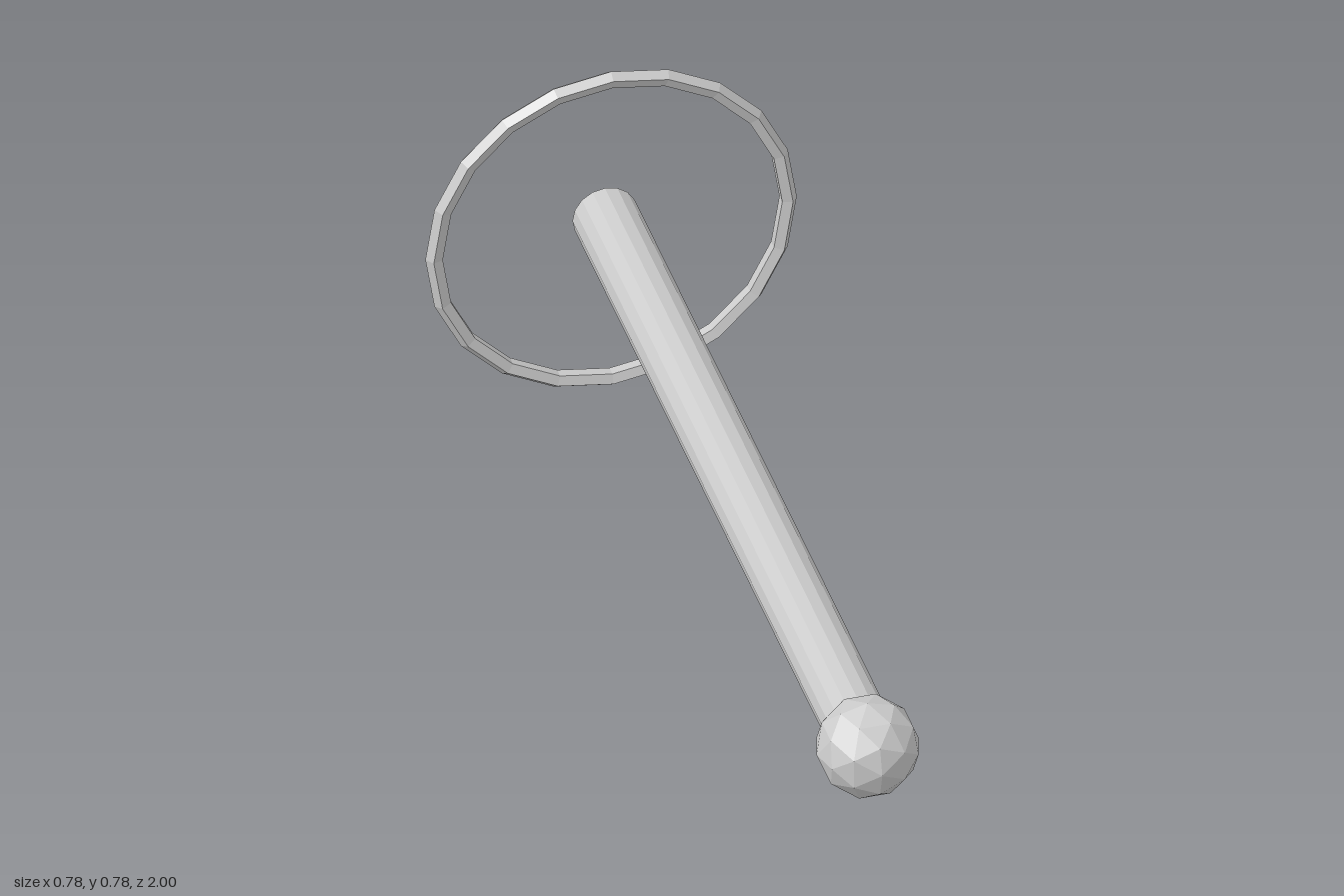
import * as THREE from 'three';

export function createModel() {
  const group = new THREE.Group();
  const material = new THREE.MeshStandardMaterial({ color: 0xcccccc, flatShading: true });
  const axisY = 0.39;

  const add = (name, geometry, z) => {
    const mesh = new THREE.Mesh(geometry, material);
    mesh.name = name;
    mesh.position.set(0, axisY, z);
    group.add(mesh);
  };

  // Long rod lying along z, its front end sunk into the ball
  const rodBack = -1, rodFront = 0.86;
  const rod = new THREE.CylinderGeometry(0.068, 0.068, rodFront - rodBack, 16);
  rod.rotateX(Math.PI / 2);
  add('rod', rod, (rodFront + rodBack) / 2);

  // Faceted ball on the front tip
  const ballRadius = 0.107;
  add('ballTip', new THREE.IcosahedronGeometry(ballRadius, 1), 1 - ballRadius);

  // Thin five-sided ring floating around the back end
  add('ring', new THREE.TorusGeometry(0.3715, 0.0185, 5, 20), -0.955);

  return group;
}
